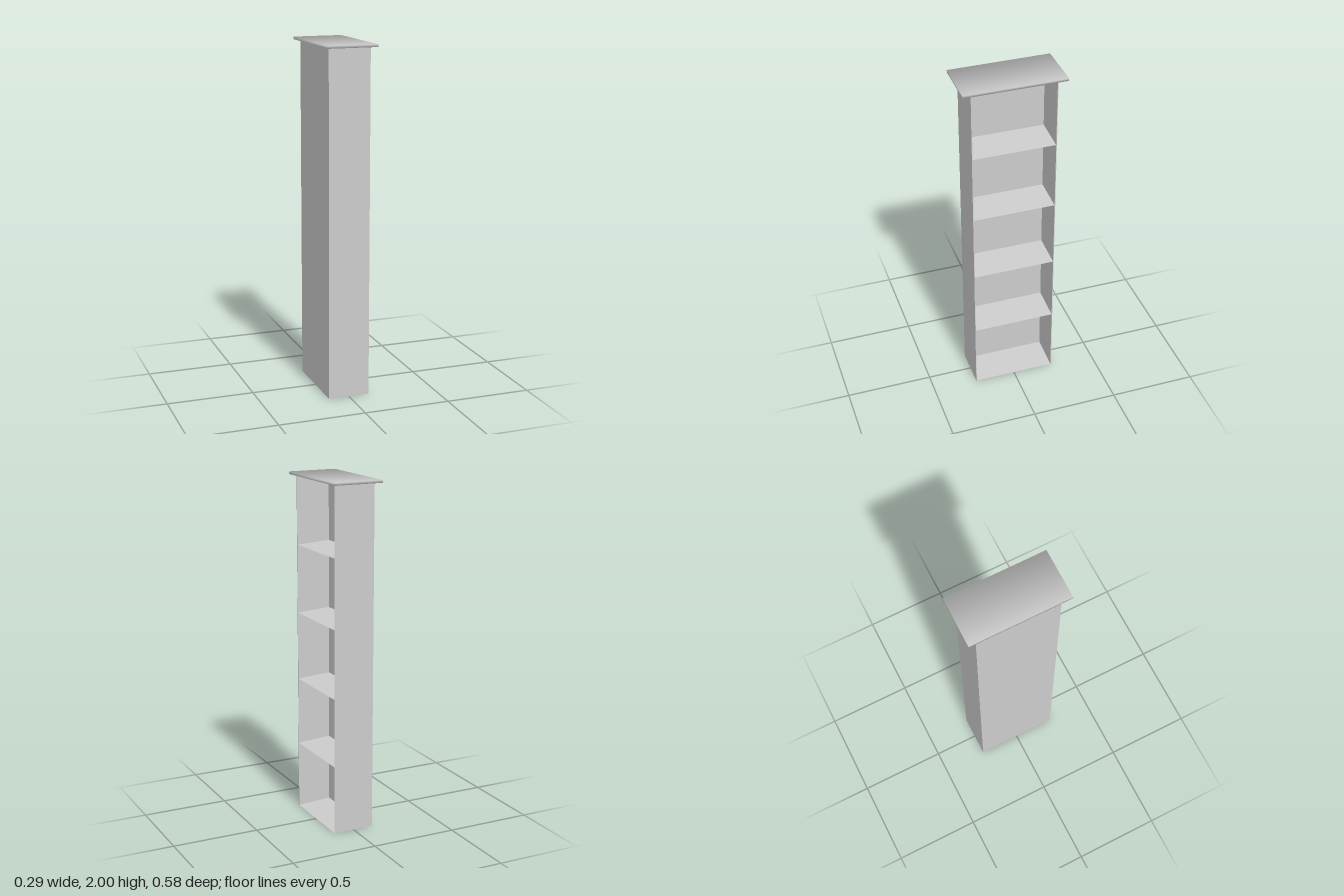
import * as THREE from 'three';

const material = new THREE.MeshStandardMaterial({ color: 0xcccccc });

const HALF_W = 0.12, HALF_D = 0.24, BODY_H = 1.985;
const BACK_X = -0.08;     // inner face of the back wall
const BAYS = 5, TAPER = 0.013, PANEL = 0.004;

function add(group, name, geometry, x = 0, y = 0, z = 0) {
  const mesh = new THREE.Mesh(geometry, material);
  mesh.name = name;
  mesh.position.set(x, y, z);
  group.add(mesh);
}

// Back wall and shelves in one profile; shelves taper to a thin edge at the opening (+x)
function shelvingGeometry() {
  const pitch = BODY_H / BAYS;
  const shape = new THREE.Shape();
  shape.moveTo(-HALF_W, 0);
  for (let i = 0; i < BAYS; i++) {
    shape.lineTo(HALF_W, i * pitch);
    shape.lineTo(BACK_X, i * pitch + TAPER);
    shape.lineTo(BACK_X, (i + 1) * pitch - TAPER);
  }
  shape.lineTo(HALF_W, BODY_H);
  shape.lineTo(-HALF_W, BODY_H);
  shape.closePath();
  const depth = 2 * (HALF_D - PANEL);
  const geometry = new THREE.ExtrudeGeometry(shape, { depth, bevelEnabled: false });
  return geometry.translate(0, 0, -depth / 2);
}

// Thin slab whose corner normals point outward, for soft shading
function topGeometry() {
  const geometry = new THREE.BoxGeometry(0.288, 2 - BODY_H, 0.578);
  const p = geometry.attributes.position, n = geometry.attributes.normal;
  const v = new THREE.Vector3();
  for (let i = 0; i < p.count; i++) {
    v.set(Math.sign(p.getX(i)), Math.sign(p.getY(i)), Math.sign(p.getZ(i))).normalize();
    n.setXYZ(i, v.x, v.y, v.z);
  }
  return geometry;
}

export function createModel() {
  const group = new THREE.Group();
  group.name = 'bookcase';

  add(group, 'shelvesAndBack', shelvingGeometry());

  // Side panels
  for (const [name, side] of [['frontSidePanel', 1], ['rearSidePanel', -1]]) {
    add(group, name, new THREE.BoxGeometry(2 * HALF_W, BODY_H, PANEL),
      0, BODY_H / 2, side * (HALF_D - PANEL / 2));
  }

  // Overhanging top
  add(group, 'topBoard', topGeometry(), 0, (2 + BODY_H) / 2, 0);

  return group;
}
